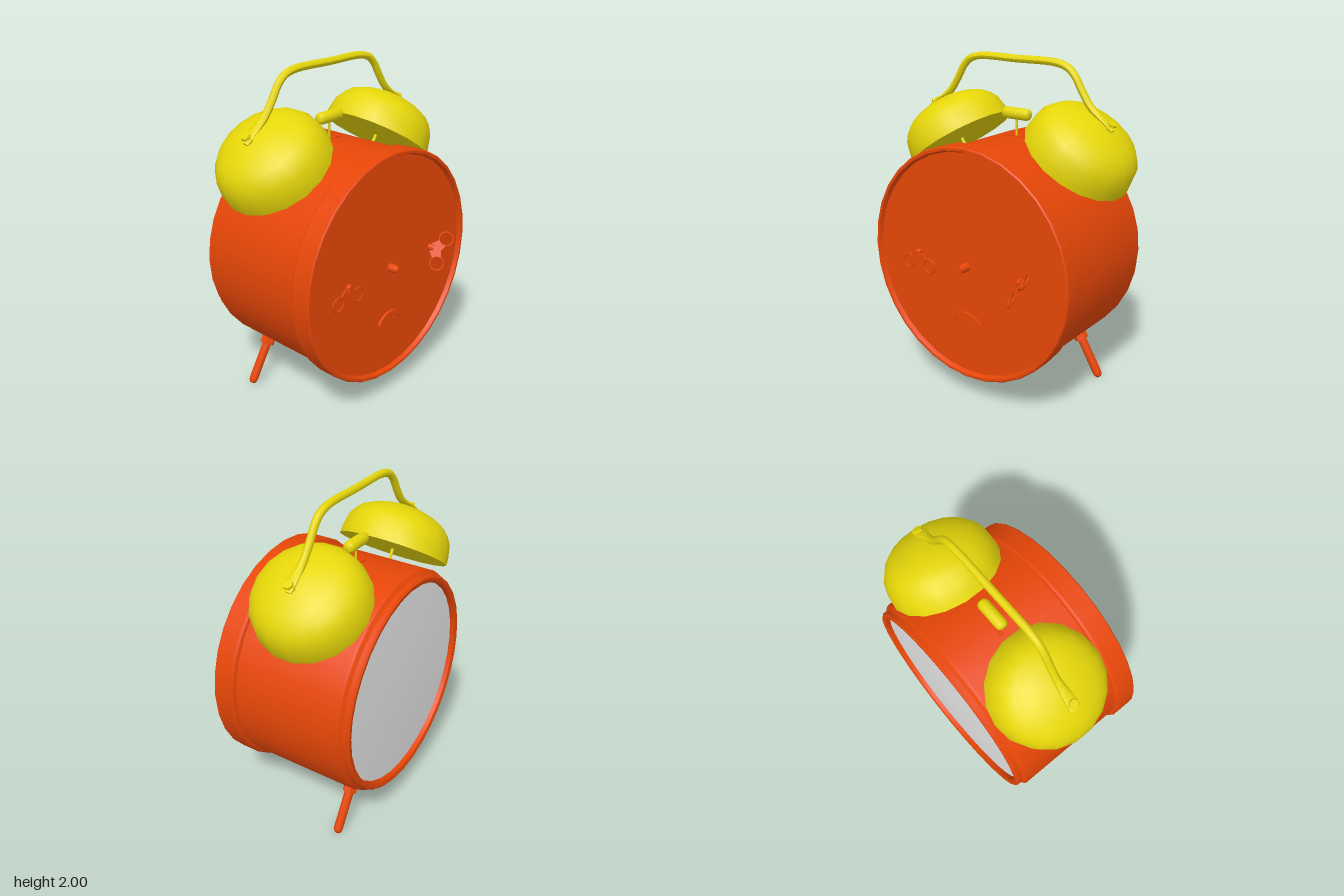
import * as THREE from 'three';
import { toCreasedNormals } from 'three/addons/utils/BufferGeometryUtils.js';

const CY = 0.855;   // height of the case axis
const BZ = -0.107;  // depth of bells, hammer and handle
const PLATE = 0.37; // depth of the key plate

export function createModel() {
  const root = new THREE.Group();
  const paint = (name, color) => {
    const m = new THREE.MeshStandardMaterial({ color });
    m.name = name;
    return m;
  };
  const orange = paint('orange enamel', 0xe64607);
  const yellow = paint('yellow enamel', 0xe6d609);
  const grey = paint('grey dial', 0xe4e4e4);

  const add = (name, geo, mat, parent = root) => {
    const mesh = new THREE.Mesh(geo, mat);
    mesh.name = name;
    parent.add(mesh);
    return mesh;
  };
  const lathe = (pts, seg, crease = 0.5) => toCreasedNormals(
    new THREE.LatheGeometry(pts.map(([r, y]) => new THREE.Vector2(r, y)), seg), crease);

  // Case: dial rim, drum, wide cap and recessed key plate turned about z
  const caseGeo = lathe([
    [0.605, -0.43], [0.612, -0.468], [0.625, -0.475], [0.642, -0.475], [0.652, -0.465], [0.652, -0.437],
    [0.672, -0.42], [0.675, -0.405], [0.675, 0.256], [0.69, 0.262], [0.7, 0.275],
    [0.7, 0.388], [0.693, 0.395], [0.678, 0.395], [0.667, PLATE], [0, PLATE],
  ], 32);
  caseGeo.rotateX(Math.PI / 2);
  add('case', caseGeo, orange).position.y = CY;

  // Dial: gently domed disc
  const dialGeo = lathe([[0, -0.458], [0.3, -0.454], [0.61, -0.442]], 32);
  dialGeo.rotateX(Math.PI / 2);
  add('dial', dialGeo, grey).position.y = CY;

  // Setting knob in the middle of the key plate
  const knobGeo = lathe([[0.026, PLATE - 0.005], [0.026, 0.395], [0.019, 0.432], [0.01, 0.435], [0, 0.435]], 12);
  knobGeo.rotateX(Math.PI / 2);
  add('settingKnob', knobGeo, orange).position.y = CY;

  // Curved regulator strip
  const arc = new THREE.Shape();
  const half = 1.03, mid = Math.PI / 2;
  arc.absarc(0, 0, 0.122, mid - half, mid + half, false);
  arc.absarc(0, 0, 0.097, mid + half, mid - half, true);
  const arcGeo = new THREE.ExtrudeGeometry(arc, { depth: 0.016, bevelEnabled: false, curveSegments: 16 });
  add('regulatorStrip', arcGeo, orange).position.set(0, 0.45, PLATE);

  // Winding keys: two loops, a web and a hub
  const makeKey = (name) => {
    const key = new THREE.Group();
    key.name = name;
    for (const s of [-1, 1]) {
      add('keyLoop', new THREE.TorusGeometry(0.042, 0.006, 6, 18), orange, key).position.x = s * 0.08;
    }
    const web = new THREE.Shape([
      [-0.06, 0.038], [-0.042, 0.02], [-0.037, -0.012], [0, 0.004], [0.037, -0.012], [0.042, 0.02], [0.06, 0.038],
      [0.024, 0.07], [-0.024, 0.07],
    ].map(([x, y]) => new THREE.Vector2(x, y)));
    const webGeo = new THREE.ExtrudeGeometry(web, { depth: 0.012, bevelEnabled: false });
    webGeo.translate(0, 0, -0.006);
    add('keyWeb', webGeo, orange, key);
    const hubGeo = lathe([[0, -0.02], [0.02, -0.02], [0.02, 0.015], [0.014, 0.022], [0, 0.024]], 10);
    add('keyHub', hubGeo, orange, key).position.y = 0.07;
    root.add(key);
    return key;
  };
  makeKey('rightKey').position.set(-0.365, 0.79, PLATE + 0.003);
  const leftKey = makeKey('leftKey');
  const along = new THREE.Vector3(0.56, 0.83, 0).normalize();
  const inward = new THREE.Vector3(-0.456, 0.308, -0.835).normalize();
  leftKey.quaternion.setFromRotationMatrix(
    new THREE.Matrix4().makeBasis(along, inward, along.clone().cross(inward)));
  leftKey.position.set(0.41, 0.836, 0.437);

  // Bells, their posts and bolts, and the legs, mirrored left and right
  const bellGeo = lathe([[0, 0], [0.336, 0], [0.334, 0.04], [0.318, 0.12], [0.29, 0.165], [0.252, 0.203],
    [0.19, 0.234], [0.117, 0.256], [0.05, 0.268], [0, 0.27]], 18, 0.8);
  const legGeo = lathe([[0, -0.391], [0.014, -0.388], [0.023, -0.378], [0.027, -0.36], [0.027, 0]], 14, 0.9);
  const nutGeo = toCreasedNormals(new THREE.CylinderGeometry(0.044, 0.044, 0.06, 6), 0.5);
  for (const s of [1, -1]) {
    const side = s > 0 ? 'left' : 'right';

    const bell = new THREE.Group();
    bell.name = side + 'BellGroup';
    bell.position.set(s * 0.42, 1.46, BZ);
    bell.rotation.z = -s * 0.6;
    add(side + 'Bell', bellGeo, yellow, bell);
    add(side + 'BellPost', new THREE.CylinderGeometry(0.01, 0.01, 0.14, 8), yellow, bell).position.y = -0.06;
    const bolt = add(side + 'HandleBolt',
      toCreasedNormals(new THREE.CylinderGeometry(0.026, 0.033, 0.05, 6), 0.5), yellow, bell);
    bolt.position.set(s * 0.05, 0.28, 0);
    root.add(bell);

    const leg = new THREE.Group();
    leg.name = side + 'LegGroup';
    leg.position.set(s * 0.308, CY - 0.516, -0.31);
    leg.rotation.z = s * 0.541;
    add(side + 'Leg', legGeo, orange, leg);
    add(side + 'LegNut', nutGeo, orange, leg).position.y = -0.095;
    root.add(leg);
  }

  // Hammer on a thin rod, rising from a slot plate
  const hammerGeo = lathe([[0, -0.095], [0.02, -0.095], [0.031, -0.085], [0.035, -0.07],
    [0.035, 0.07], [0.031, 0.085], [0.02, 0.095], [0, 0.095]], 16, 0.8);
  hammerGeo.rotateZ(Math.PI / 2);
  add('hammer', hammerGeo, yellow).position.set(0, 1.662, BZ);
  add('hammerRod', new THREE.CylinderGeometry(0.007, 0.007, 0.14, 8), yellow).position.set(0, 1.575, BZ);
  add('hammerSlot', new THREE.BoxGeometry(0.16, 0.008, 0.022), orange).position.set(0, 1.528, BZ);

  // Carrying handle: a tube whose ends flatten into straps
  const halfPath = [[0.65, 1.645], [0.585, 1.69], [0.5, 1.75], [0.435, 1.84], [0.392, 1.91],
    [0.345, 1.953], [0.27, 1.975]];
  const path = [...halfPath.map(([x, y]) => [-x, y]), [0, 1.977], ...halfPath.slice().reverse()];
  const curve = new THREE.CatmullRomCurve3(path.map(([x, y]) => new THREE.Vector3(x, y, 0)));
  const rings = 64, sides = 10;
  const handleGeo = new THREE.TubeGeometry(curve, rings, 0.022, sides);
  const pos = handleGeo.attributes.position;
  for (let i = 0; i < pos.count; i++) {
    const c = curve.getPointAt(Math.floor(i / (sides + 1)) / rings);
    const f = THREE.MathUtils.smoothstep(Math.abs(c.x), 0.48, 0.62);
    const thin = 1 - 0.55 * f;
    pos.setXYZ(i, c.x + (pos.getX(i) - c.x) * thin, c.y + (pos.getY(i) - c.y) * thin,
      pos.getZ(i) * (1 + 0.55 * f));
  }
  handleGeo.computeVertexNormals();
  add('handle', handleGeo, yellow).position.z = BZ;

  return root;
}
